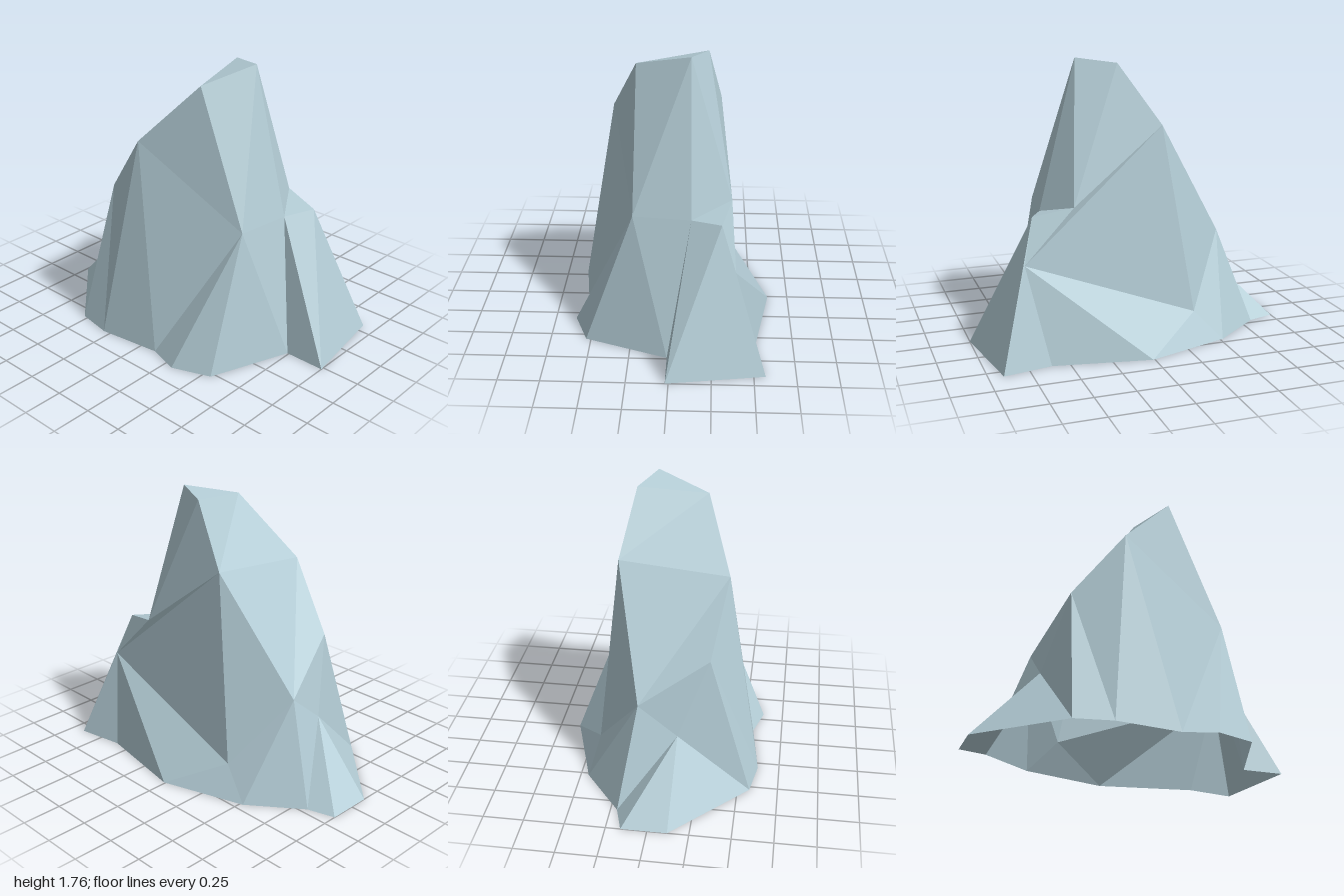
import * as THREE from 'three';

// Corners of the crag: foot ring on the ground, then shoulders, ledge and peak.
const P = {
  // foot, going round from the left side through front, right and back
  f0: [1, 0, 0.02], f1: [0.74, 0, 0.02], f2: [0.55, 0, 0.53], f3: [0.31, 0, 0.62],
  f4: [0.11, 0, 0.56], f5: [-0.3, 0, 0.615], f6: [-0.53, 0, 0.575], f7: [-1, 0, 0.12],
  f8: [-1, 0, -0.16], f9: [-0.83, 0, -0.21], f10: [-0.52, 0, -0.45], f11: [0.01, 0, -0.62],
  f12: [0.61, 0, -0.515], f13: [0.91, 0, -0.57],
  // front and side shoulders
  front: [0.53, 0.845, 0.23], brow: [-0.165, 1.295, 0.39], cheek: [-0.48, 0.885, 0.31],
  side: [-0.61, 0.62, -0.11], spur: [-0.605, 0.42, 0.13],
  // ledge
  ledgeIn: [0.57, 0.845, -0.12], ledgeOut: [0.66, 0.86, -0.3], ledgeBack: [0.42, 0.91, -0.36],
  // back
  nape: [-0.16, 1.36, -0.29], hip: [0.73, 0.59, -0.385], heel: [-0.34, 0.19, -0.4],
  // peak
  topFront: [0.19, 1.68, 0.22], topLeft: [0.335, 1.765, -0.11], topBack: [0.1, 1.735, -0.21],
};

// Facets as fans: a hub corner, then the rim corners counter-clockwise around it.
const fans = {
  frontFace: ['front f4 f3 f2 f1 ledgeIn topLeft topFront brow f4', 'brow topFront nape side cheek f5 f4', 'cheek f6 f5'],
  sideSpur: ['spur cheek side f9 f8 f7 f6 cheek'],
  ledge: ['ledgeIn f1 f0 ledgeOut ledgeBack topLeft', 'ledgeOut f0 f13'],
  backFace: ['hip f13 f12 f11 heel nape ledgeBack ledgeOut f13', 'heel f11 f10 side nape', 'side f10 f9'],
  peak: ['topBack nape topFront topLeft ledgeBack nape'],
};

function fanGeometry(list) {
  const pos = [];
  for (const fan of list) {
    const [hub, ...rim] = fan.split(' ');
    for (let i = 0; i < rim.length - 1; i++) pos.push(...P[hub], ...P[rim[i]], ...P[rim[i + 1]]);
  }
  const g = new THREE.BufferGeometry();
  g.setAttribute('position', new THREE.Float32BufferAttribute(pos, 3));
  g.computeVertexNormals(); // unshared corners give flat facets
  return g;
}

export function createModel() {
  const group = new THREE.Group();
  group.name = 'rock';
  // open underneath, so both sides show
  const stone = new THREE.MeshStandardMaterial({ color: 0xb3ccd5, flatShading: true, side: THREE.DoubleSide });
  stone.name = 'paleBlueStone';
  for (const [name, list] of Object.entries(fans)) {
    const mesh = new THREE.Mesh(fanGeometry(list), stone);
    mesh.name = name;
    group.add(mesh);
  }
  return group;
}
